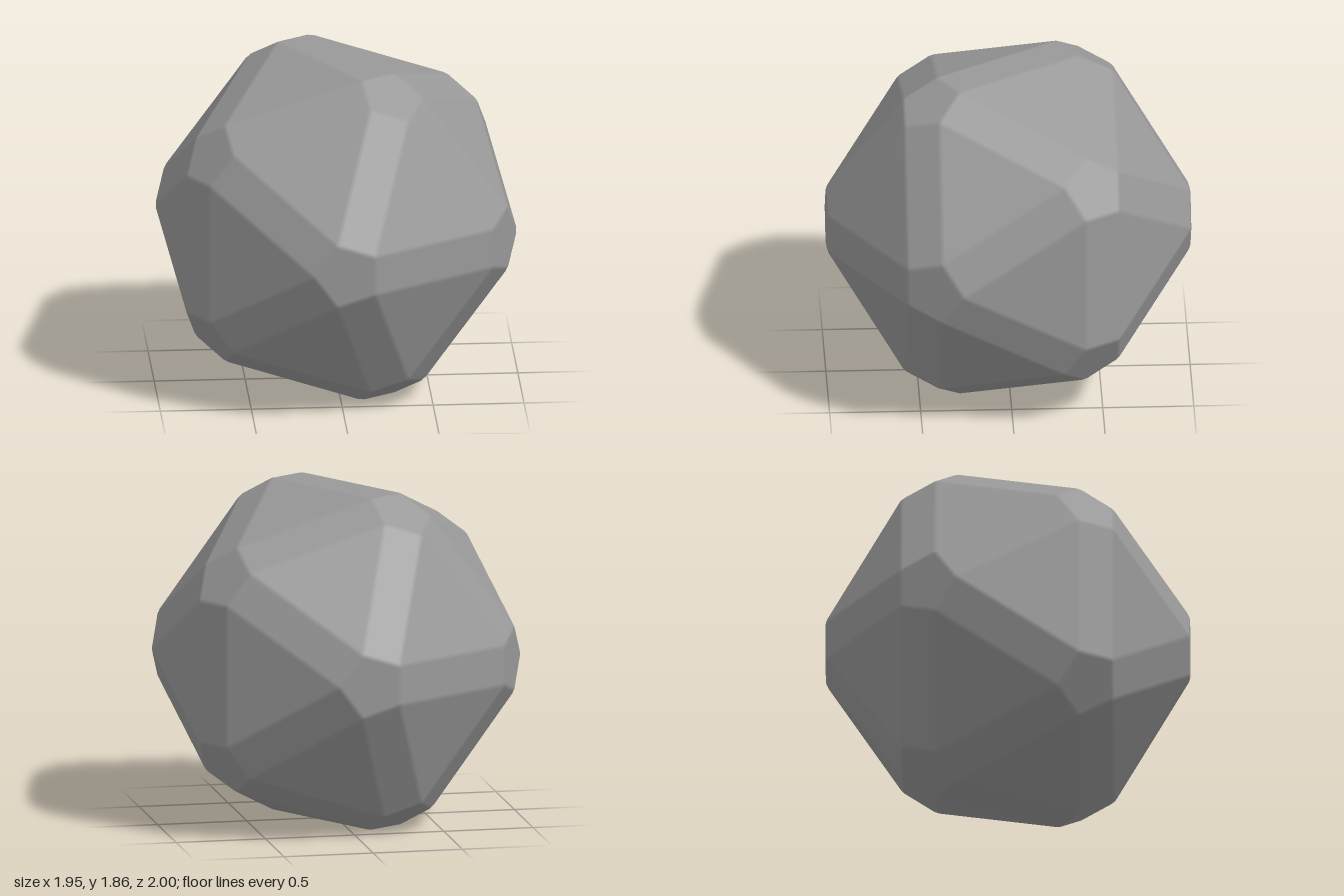
import * as THREE from 'three';
import { ConvexGeometry } from 'three/addons/geometries/ConvexGeometry.js';

const CORNER_RADIUS = 0.187; // radius of the flat pentagon cut at each corner
const INSET = 0.014; // half width of the soft seam between facets

// Twelve icosahedron corner directions, two of them on the z axis
function cornerDirections() {
  const dirs = [new THREE.Vector3(0, 0, 1), new THREE.Vector3(0, 0, -1)];
  const ring = 2 / Math.sqrt(5), z = 1 / Math.sqrt(5);
  for (let i = 0; i < 5; i++) {
    const a = (i * Math.PI * 2) / 5;
    const front = new THREE.Vector3(ring * Math.cos(a), ring * Math.sin(a), z);
    dirs.push(front, front.clone().negate());
  }
  return dirs;
}

// Corner points of every facet, each with the facet's normal
function facetCorners() {
  const d = cornerDirections(), corners = [];
  const near = (a, b) => a.dot(b) > 0.4;
  const add = (point, direction, distance, normal) =>
    corners.push({ position: point.clone().addScaledVector(direction, distance), normal });

  for (let i = 0; i < 12; i++)
    for (let j = i + 1; j < 12; j++)
      for (let k = j + 1; k < 12; k++) {
        const triangle = [d[i], d[j], d[k]];
        if (!near(d[i], d[j]) || !near(d[j], d[k]) || !near(d[i], d[k])) continue;
        const centre = d[i].clone().add(d[j]).add(d[k]).normalize();

        for (const v of triangle) {
          const inward = centre.clone().addScaledVector(v, -centre.dot(v)).normalize();
          const p = v.clone().addScaledVector(inward, CORNER_RADIUS);

          // Pentagon at the corner
          add(p, inward, -INSET / Math.cos(Math.PI / 5), v);

          // Large triangle
          const toCentre = centre.clone().multiplyScalar(p.dot(centre)).sub(p).normalize();
          add(p, toCentre, INSET * 2, centre);

          // Strips along the two edges that meet here
          for (const w of triangle) {
            if (w === v) continue;
            const normal = v.clone().add(w).normalize();
            const along = w.clone().sub(v).normalize();
            const across = normal.clone().cross(along);
            along.addScaledVector(across, -Math.sign(p.dot(across)));
            add(p, along, INSET, normal);
          }
        }
      }
  return corners;
}

export function createModel() {
  const group = new THREE.Group();
  group.name = 'bevelledIcosahedron';

  const corners = facetCorners();
  const geometry = new ConvexGeometry(corners.map((c) => c.position));

  // Facets shade flat and the narrow seams between them blend
  const position = geometry.attributes.position, normal = geometry.attributes.normal;
  const p = new THREE.Vector3();
  for (let i = 0; i < position.count; i++) {
    p.fromBufferAttribute(position, i);
    const n = corners.find((c) => c.position.distanceTo(p) < 1e-4).normal;
    normal.setXYZ(i, n.x, n.y, n.z);
  }
  geometry.computeBoundingBox();
  geometry.translate(0, -geometry.boundingBox.min.y, 0);

  const stone = new THREE.Mesh(geometry, new THREE.MeshStandardMaterial({ color: 0x999999 }));
  stone.name = 'stone';
  group.add(stone);
  return group;
}
